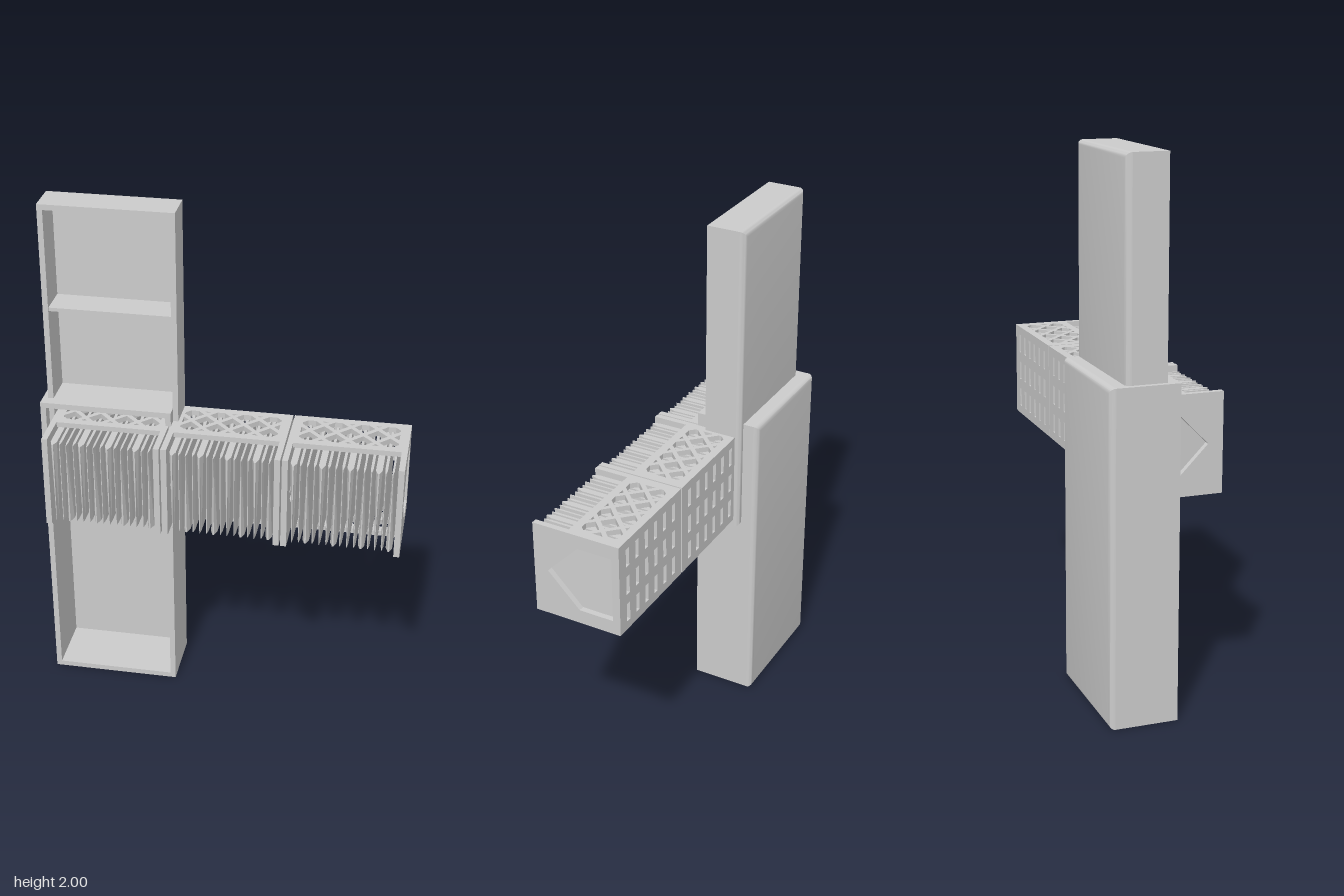
import * as THREE from 'three';
import { toCreasedNormals } from 'three/addons/utils/BufferGeometryUtils.js';

const mat = new THREE.MeshStandardMaterial({ color: 0xcccccc });

function add(parent, name, geo, x = 0, y = 0, z = 0) {
  const m = new THREE.Mesh(geo, mat);
  m.name = name;
  m.position.set(x, y, z);
  parent.add(m);
  return m;
}

const pts = (list) => list.map(([x, y]) => new THREE.Vector2(x, y));
const rect = (x0, y0, x1, y1) => [[x0, y0], [x1, y0], [x1, y1], [x0, y1]];

// Flat plate with polygon cut-outs, extruded along +z
function plate(outline, holes, depth) {
  const s = new THREE.Shape(pts(outline));
  s.holes = holes.map((h) => new THREE.Path(pts(h)));
  return new THREE.ExtrudeGeometry(s, { depth, bevelEnabled: false });
}

// Keep the part of a polygon where sign * p[axis] <= limit
function clip(poly, axis, sign, limit) {
  const out = [];
  poly.forEach((a, i) => {
    const b = poly[(i + 1) % poly.length];
    const da = limit - sign * a[axis], db = limit - sign * b[axis];
    if (da >= 0) out.push(a);
    if (da * db < 0) {
      const t = da / (da - db);
      out.push([a[0] + (b[0] - a[0]) * t, a[1] + (b[1] - a[1]) * t]);
    }
  });
  return out;
}

// Diamond openings of a diagonal lattice, trimmed to a rectangle
function latticeHoles(hw, hh) {
  const holes = [], step = 0.05, r = 0.038;
  for (let i = -5; i <= 5; i++) {
    for (let j = -3; j <= 3; j++) {
      if ((i + j) % 2 !== 0) continue;
      const x = i * step, y = j * step;
      let p = [[x + r, y], [x, y + r], [x - r, y], [x, y - r]];
      p = clip(clip(p, 0, 1, hw), 0, -1, hw);
      p = clip(clip(p, 1, 1, hh), 1, -1, hh);
      const area = p.reduce((s, a, k) => {
        const b = p[(k + 1) % p.length];
        return s + a[0] * b[1] - a[1] * b[0];
      }, 0) / 2;
      if (p.length > 2 && area > 0.0001) holes.push(p);
    }
  }
  return holes;
}

// Open-fronted tray with rounded back edges
function tray(name, w, y0, y1, zBack, zFront, dividers) {
  const g = new THREE.Group(), h = y1 - y0, t = 0.021, r = 0.021;
  g.name = name;
  const outer = rect(-w / 2, 0, w / 2, h);
  const inner = rect(-w / 2 + t, t, w / 2 - t, h - t);
  add(g, 'trayWalls', plate(outer, [inner], zFront - zBack - r), 0, y0, zBack + r);

  const back = new THREE.ExtrudeGeometry(new THREE.Shape(pts(inner)), {
    depth: 0.005, bevelThickness: r, bevelSize: r, bevelSegments: 5,
  });
  const p = back.attributes.position;
  for (let i = 0; i < p.count; i++) p.setZ(i, Math.min(p.getZ(i), 0));
  add(g, 'trayBack', toCreasedNormals(back, 0.7), 0, y0, zBack + r);

  for (const y of dividers) {
    const d = zFront - zBack - 0.015;
    add(g, 'trayDivider', new THREE.BoxGeometry(w - 2 * t, 0.014, d), 0, y, zBack + 0.01 + d / 2);
  }
  return g;
}

// Vertical fin; its width tapers along the height by the given lean
function fin(width, z0, z1, height, lean) {
  const a = width / 2, tip = z1 - 0.025;
  const g = plate([[-a, -z0], [-a, -tip], [-a * 0.25, -z1], [a * 0.25, -z1], [a, -tip], [a, -z0]], [], height);
  g.rotateX(-Math.PI / 2);
  g.translate(0, -height / 2, 0);
  const p = g.attributes.position;
  for (let i = 0; i < p.count; i++) {
    p.setX(i, p.getX(i) * (1 - 0.35 * Math.abs(lean) + 0.7 * lean * p.getY(i) / height));
  }
  g.computeVertexNormals();
  return g;
}

// Ventilated crate, centred on x and y
function crate() {
  const g = new THREE.Group();
  const W = 0.44, H = 0.365, zb = -0.13, zp = 0.08, zf = 0.215, t = 0.022;

  // End walls with an arrow-shaped opening
  const side = plate(rect(-zf, -H / 2, -zb, H / 2),
    [[[0.1, -0.128], [0.1, 0.128], [-0.035, 0.128], [-0.16, 0], [-0.035, -0.128]]], t);
  side.rotateY(Math.PI / 2);
  for (const x of [-W / 2, W / 2 - t]) add(g, 'endWall', side, x);

  // Lattice panels above and below
  const lw = W - 2 * t, ld = zp - zb;
  const panel = plate(rect(-lw / 2, -ld / 2, lw / 2, ld / 2), latticeHoles(0.183, 0.074), 0.02);
  panel.rotateX(-Math.PI / 2);
  add(g, 'topLattice', panel, 0, H / 2 - 0.02, (zp + zb) / 2);
  add(g, 'bottomLattice', panel, 0, -H / 2, (zp + zb) / 2);

  // Back wall with three rows of slots
  const slots = [];
  for (let c = 0; c < 6; c++) {
    for (let r = -1; r <= 1; r++) {
      const x = (c - 2.5) * 0.065, y = r * 0.113;
      slots.push(rect(x - 0.011, y - 0.036, x + 0.011, y + 0.036));
    }
  }
  add(g, 'slottedBack', plate(rect(-lw / 2, -H / 2 + 0.02, lw / 2, H / 2 - 0.02), slots, 0.02), 0, 0, zb);

  // Alternating wide tapered fins and slim fins
  const fh = H - 0.04;
  for (let i = 0; i < 15; i++) {
    const wide = i % 2 === 0, lean = i % 4 === 0 ? 1 : -1;
    const geo = wide ? fin(0.024, zb + 0.02, zf, fh, lean) : fin(0.01, zb + 0.02, zf - 0.005, fh, 0);
    add(g, wide ? 'wideFin' : 'slimFin', geo, (i - 7) * 0.0256);
  }
  return g;
}

export function createModel() {
  const model = new THREE.Group();
  model.name = 'traysAndCrates';

  const upper = tray('upperTray', 0.5, 0.78, 2, -0.155, -0.005, [1.593, 1.187]);
  upper.position.x = -0.423;
  const lower = tray('lowerTray', 0.5, 0, 1.228, -0.217, 0.037, []);
  lower.position.x = -0.443;
  model.add(upper, lower);

  // Row of three crates
  [-0.422, 0.024, 0.47].forEach((x, i) => {
    const c = crate();
    c.name = 'crate' + (i + 1);
    c.position.set(x, 0.992, 0);
    model.add(c);
  });
  return model;
}
